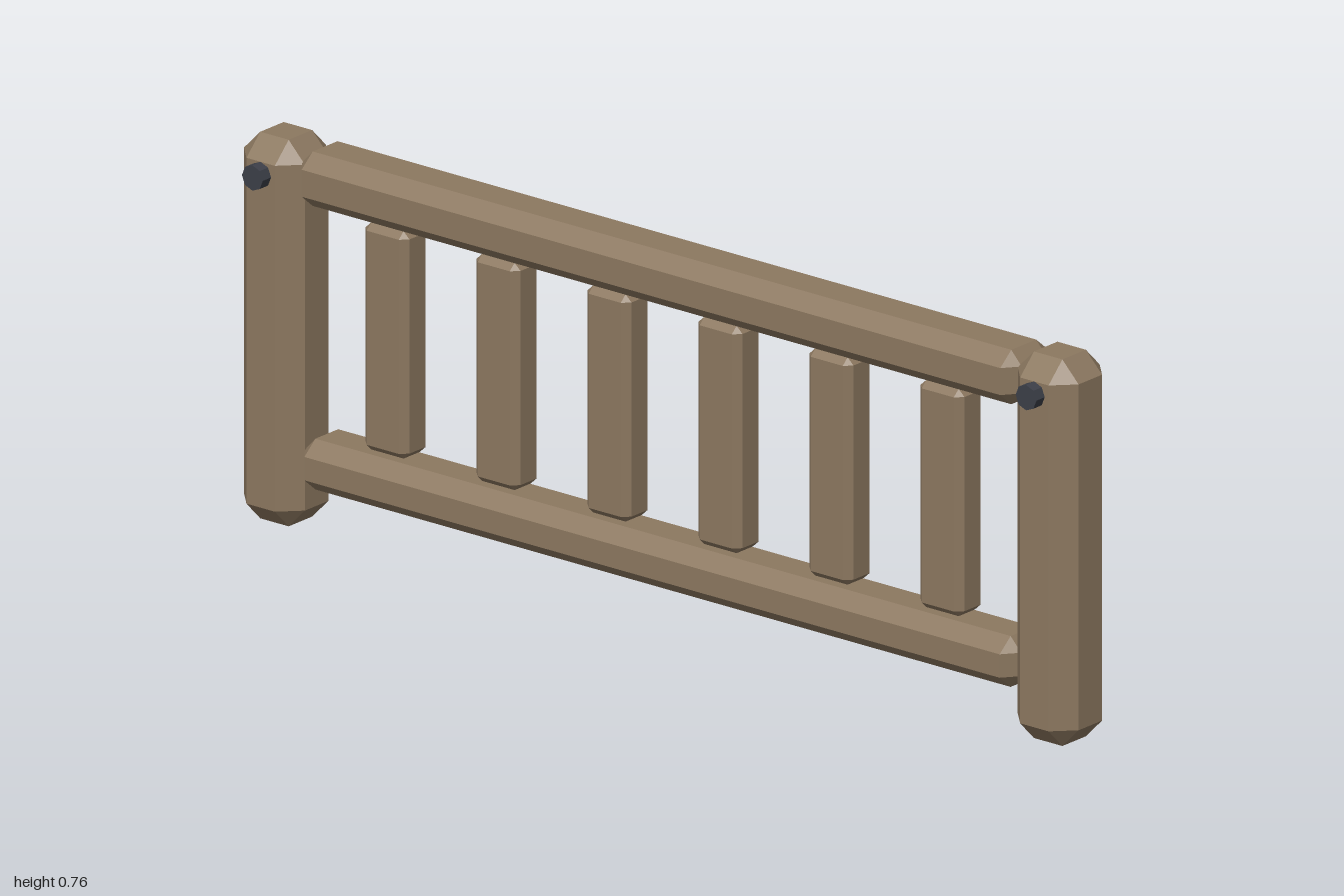
import * as THREE from 'three';
import { ConvexGeometry } from 'three/addons/geometries/ConvexGeometry.js';

// Box with every edge chamfered; bevel may differ per axis
function chamferedBox([w, h, d], [bx, by, bz]) {
  const points = [];
  for (const sx of [-1, 1]) for (const sy of [-1, 1]) for (const sz of [-1, 1]) {
    const x = w / 2, y = h / 2, z = d / 2;
    points.push(
      new THREE.Vector3(sx * x, sy * (y - by), sz * (z - bz)),
      new THREE.Vector3(sx * (x - bx), sy * y, sz * (z - bz)),
      new THREE.Vector3(sx * (x - bx), sy * (y - by), sz * z)
    );
  }
  return new ConvexGeometry(points);
}

export function createModel() {
  const group = new THREE.Group();
  const wood = new THREE.MeshStandardMaterial({ color: 0x8c7860 });
  wood.name = 'weathered wood';
  const iron = new THREE.MeshStandardMaterial({ color: 0x3c3f48 });
  iron.name = 'dark iron';
  wood.flatShading = iron.flatShading = true;

  const add = (name, geometry, material, x, y, z) => {
    const mesh = new THREE.Mesh(geometry, material);
    mesh.name = name;
    mesh.position.set(x, y, z);
    group.add(mesh);
    return mesh;
  };

  // End posts, each with a bolt on the front
  const postGeometry = chamferedBox([0.146, 0.76, 0.148], [0.039, 0.04, 0.04]);
  const boltGeometry = new THREE.CylinderGeometry(0.025, 0.025, 0.035, 8);
  boltGeometry.rotateX(Math.PI / 2);
  for (const [side, s] of [['left', 1], ['right', -1]]) {
    add(side + 'Post', postGeometry, wood, s * 0.927, 0.38, -0.011);
    add(side + 'Bolt', boltGeometry, iron, s * 0.927, 0.695, 0.0695);
  }

  // Horizontal rails
  const bevel = [0.025, 0.027, 0.032];
  add('topRail', chamferedBox([1.724, 0.107, 0.136], bevel), wood, 0, 0.696, -0.015);
  add('bottomRail', chamferedBox([1.716, 0.1, 0.13], bevel), wood, 0, 0.135, -0.015);

  // Balusters between the rails
  const balusterGeometry = chamferedBox([0.105, 0.447, 0.075], [0.014, 0.013, 0.014]);
  for (let i = 0; i < 6; i++) {
    add('baluster' + (i + 1), balusterGeometry, wood, (i - 2.5) * 0.266 - 0.003, 0.414, -0.015);
  }
  return group;
}
